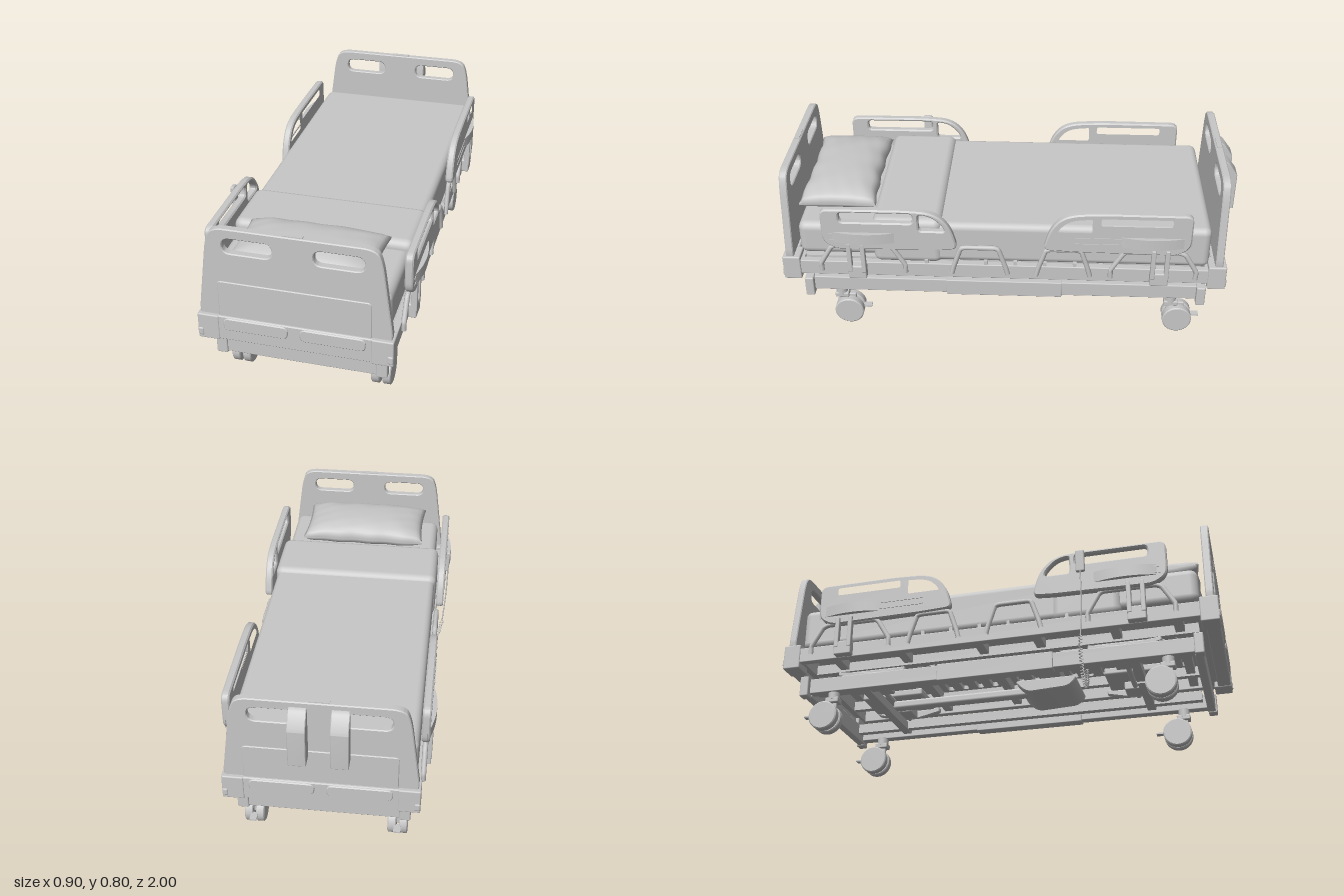
import * as THREE from 'three';
import { RoundedBoxGeometry } from 'three/addons/geometries/RoundedBoxGeometry.js';
import { toCreasedNormals } from 'three/addons/utils/BufferGeometryUtils.js';

const grey = new THREE.MeshStandardMaterial({ color: 0xc8c8c8 });
grey.name = 'light grey';

function add(parent, name, geo, x = 0, y = 0, z = 0) {
  const m = new THREE.Mesh(geo, grey);
  m.name = name;
  m.position.set(x, y, z);
  parent.add(m);
  return m;
}
function group(parent, name) {
  const g = new THREE.Group();
  g.name = name;
  parent.add(g);
  return g;
}
// Box given by its minimum and maximum on each axis, optionally rounded
function box(parent, name, [x0, x1], [y0, y1], [z0, z1], r = 0) {
  const s = [Math.abs(x1 - x0), y1 - y0, Math.abs(z1 - z0)];
  const geo = r ? new RoundedBoxGeometry(...s, 3, r) : new THREE.BoxGeometry(...s);
  return add(parent, name, geo, (x0 + x1) / 2, (y0 + y1) / 2, (z0 + z1) / 2);
}
// Closed outline with rounded corners; each point is [u, v, radius]
function roundPath(path, pts) {
  pts.forEach(([u, v, r = 0.01], i) => {
    const p = new THREE.Vector2(u, v);
    const near = (q) => {
      const d = new THREE.Vector2(q[0] - u, q[1] - v);
      return p.clone().addScaledVector(d, Math.min(r / d.length(), 0.49));
    };
    const a = near(pts[(i + pts.length - 1) % pts.length]), b = near(pts[(i + 1) % pts.length]);
    if (i) path.lineTo(a.x, a.y); else path.moveTo(a.x, a.y);
    path.quadraticCurveTo(u, v, b.x, b.y);
  });
  path.closePath();
  return path;
}
const rect = (u0, u1, v0, v1, r) => [[u0, v0, r], [u1, v0, r], [u1, v1, r], [u0, v1, r]];
// Plate of a given thickness, centred on its thickness axis
function plate(pts, holes, depth, bevel = 0.004) {
  const shape = roundPath(new THREE.Shape(), pts);
  holes.forEach((h) => shape.holes.push(roundPath(new THREE.Path(), h)));
  const geo = new THREE.ExtrudeGeometry(shape, {
    depth: depth - 2 * bevel, bevelEnabled: bevel > 0, bevelSize: bevel, bevelOffset: -bevel,
    bevelThickness: bevel, bevelSegments: 1, curveSegments: 8,
  });
  geo.translate(0, 0, -depth / 2 + bevel);
  return toCreasedNormals(geo, 0.5);
}
const sidePlate = (...args) => plate(...args).rotateY(-Math.PI / 2);
function tube(parent, name, pts, r, tension = 0.1, seg = 40) {
  const c = new THREE.CatmullRomCurve3(pts.map((p) => new THREE.Vector3(...p)), false, 'catmullrom', tension);
  return add(parent, name, new THREE.TubeGeometry(c, seg, r, 8));
}

// Head or foot board: tapered panel with hand holes above a bumper beam
function endBoard(parent, name, z, dir) {
  const g = group(parent, name);
  g.position.z = z;
  const outline = [[-0.385, 0.36], [0.385, 0.36], [0.392, 0.42, 0.02], [0.35, 0.74, 0.06], [0.325, 0.797, 0.06],
    [-0.325, 0.797, 0.06], [-0.35, 0.74, 0.06], [-0.392, 0.42, 0.02]];
  const grips = [-1, 1].map((s) => rect(s * 0.182 - 0.1, s * 0.182 + 0.1, 0.69, 0.755, 0.035));
  add(g, 'boardPanel', plate(outline, grips, 0.034));
  add(g, 'insetPanel', plate(rect(-0.31, 0.31, 0.39, 0.56, 0.015), [], 0.014, 0.003), 0, 0, dir * 0.015);
  box(g, 'topMark', [-0.04, 0.04], [0.795, 0.8], [-0.01, 0.01]);
  add(g, 'bumperBeam', plate(rect(-0.395, 0.395, 0.29, 0.4, 0.012), [], 0.06), 0, 0, dir * 0.001);
  for (const s of [-1, 1]) {
    add(g, 'raisedPad', plate(rect(-0.133, 0.133, 0.34, 0.396, 0.025), [], 0.014, 0.004), s * 0.157, 0, dir * 0.03);
    box(g, 'cornerBlock', [s * 0.31, s * 0.4], [0.285, 0.4], [dir * -0.045, dir * 0.034], 0.006);
    box(g, 'cornerBumper', [s * 0.375, s * 0.4], [0.298, 0.335], [dir * 0.015, dir * 0.038], 0.008);
  }
}

// Side rail for side s; e = 1 near the head, -1 near the foot
function sideRail(parent, s, e) {
  const g = group(parent, e > 0 ? 'headSideRail' : 'footSideRail');
  const o = e > 0 ? 0.01 : -0.003;
  const tip = e > 0 ? 0.204 : 0.156;
  const at = (pts) => pts.map(([u, v, r]) => [e * (u + o), v, r]);
  const X = s * (e > 0 ? 0.412 : 0.402);
  const outline = at([[0.79, 0.674, 0.035], [0.43, 0.676, 0.04], [tip + 0.1, 0.668, 0.08], [tip + 0.03, 0.6, 0.08], [tip, 0.485, 0.03],
    [0.3, 0.478, 0.03], [0.73, 0.472, 0.03], [0.79, 0.51, 0.04]]);
  const slot = at(rect(0.395, 0.71, 0.612, 0.66, 0.018));
  const arch = at([[0.37, 0.575, 0.015], [0.37, 0.657, 0.015], [tip + 0.11, 0.647, 0.06], [tip + 0.062, 0.6, 0.03], [tip + 0.055, 0.575, 0.01]]);
  add(g, 'railPanel', sidePlate(outline, [slot, arch], 0.034, 0.006), X);
  const out = X + s * 0.015;
  for (const y of [0.52, 0.55]) box(g, 'railRib', [out, out + s * 0.005], [y, y + 0.006], e > 0 ? [0.58, 0.77] : [-0.5, -0.29]);
  // Lens-shaped latch that bulges outward
  const lens = new THREE.Shape();
  lens.moveTo(-0.17, 0).quadraticCurveTo(0, 0.064, 0.17, 0);
  const latch = new THREE.ExtrudeGeometry(lens, { depth: 0.05, bevelEnabled: false, curveSegments: 16 });
  latch.rotateX(Math.PI / 2).rotateY(s * Math.PI / 2);
  add(g, 'railLatch', toCreasedNormals(latch, 0.5), X + s * 0.005, 0.563, e * 0.62);
  // Folding support beneath the panel
  const zc = e * 0.66;
  for (const d of [-0.03, 0.03]) box(g, 'supportPost', [s * 0.404, s * 0.43], [0.35, 0.5], [zc + d - 0.01, zc + d + 0.01], 0.004);
  box(g, 'supportFoot', [s * 0.385, s * 0.428], [0.315, 0.38], [zc - 0.04, zc + 0.04], 0.006);
  tube(g, 'supportBar', [[0.82, 0.34], [0.82, 0.38], [0.77, 0.465], [0.74, 0.478], [0.52, 0.478], [0.5, 0.465], [0.45, 0.38], [0.45, 0.34]]
    .map(([z, y]) => [s * 0.402, y, e * z]), 0.011);
}

// Twin-wheel caster
function caster(parent, x, z) {
  const g = group(parent, 'caster');
  g.position.set(x, 0, z);
  for (const s of [-1, 1]) {
    const pts = [[0, -0.018], [0.061, -0.018], [0.066, -0.014], [0.066, 0.014], [0.061, 0.018], [0, 0.018]];
    const wheel = new THREE.LatheGeometry(pts.map((p) => new THREE.Vector2(...p)), 32).rotateZ(Math.PI / 2);
    add(g, 'wheel', toCreasedNormals(wheel, 0.5), s * 0.024, 0.066, 0);
  }
  box(g, 'casterFork', [-0.008, 0.008], [0.06, 0.14], [-0.03, 0.05], 0.004);
  box(g, 'casterHead', [-0.024, 0.024], [0.13, 0.155], [0, 0.062], 0.005);
  add(g, 'casterStem', new THREE.CylinderGeometry(0.026, 0.026, 0.04, 16), 0, 0.165, 0.033);
  box(g, 'brakePedal', [-0.015, 0.015], [0.071, 0.078], [-0.1, -0.055]);
}

// Pillow: a box puffed in the middle with soft creases
function pillow(parent) {
  const geo = new THREE.BoxGeometry(2, 2, 2, 40, 4, 28);
  const p = geo.attributes.position;
  for (let i = 0; i < p.count; i++) {
    const x = p.getX(i), y = p.getY(i), z = p.getZ(i);
    const puff = Math.pow((1 - x ** 4) * (1 - z ** 4), 0.5);
    const crease = 0.002 * Math.sin(11 * x + 5 * z) * Math.sin(9 * z - 3 * x) * (x * x + z * z) * puff;
    p.setXYZ(i, 0.298 * x * (1 - 0.035 * (1 - z * z)), y * (0.004 + 0.05 * puff) + crease + 0.014 * (1 - z * z) * (1 - x * x),
      0.168 * z * (1 - 0.05 * (1 - x * x)) + 0.003 * Math.sin(12 * x) * Math.abs(z));
  }
  geo.computeVertexNormals();
  add(parent, 'pillow', toCreasedNormals(geo, 1.2), -0.005, 0.612, 0.752);
}

export function createModel() {
  const bed = new THREE.Group();
  bed.name = 'hospitalBed';

  // Bedding
  const bedding = group(bed, 'bedding');
  box(bedding, 'mattress', [-0.37, 0.37], [0.4, 0.56], [-0.86, 0.918], 0.035);
  box(bedding, 'blanket', [-0.38, 0.38], [0.385, 0.58], [-0.877, 0.55], 0.03);
  box(bedding, 'blanketFold', [-0.388, 0.388], [0.376, 0.6], [0.285, 0.59], 0.035);
  pillow(bedding);

  endBoard(bed, 'headboard', 0.962, 1);
  endBoard(bed, 'footboard', -0.921, -1);

  // Control boxes with sloping tops on the footboard
  for (const s of [-1, 1]) {
    const wedge = [[-0.935, 0.53, 0.003], [-0.935, 0.775, 0.003], [-0.955, 0.765, 0.003], [-1, 0.705, 0.006], [-1, 0.53, 0.003]];
    add(bed, 'controlBox', sidePlate(wedge, [], 0.072, 0.003), s * 0.083);
  }

  // Mattress platform
  const deck = group(bed, 'platform');
  for (const s of [-1, 1]) {
    box(deck, 'sideBeam', [s * 0.362, s * 0.395], [0.312, 0.382], [-0.88, 0.92], 0.004);
    box(deck, 'innerBeam', [s * 0.21, s * 0.24], [0.315, 0.36], [-0.86, 0.9]);
    for (const [a, b] of [[0, 0.245], [-0.36, -0.125]]) {
      tube(deck, 'strapRail', [[a, 0.34], [a + 0.01, 0.38], [a + 0.04, 0.47], [a + 0.06, 0.478], [b - 0.06, 0.478], [b - 0.04, 0.47], [b - 0.01, 0.38], [b, 0.34]]
        .map(([z, y]) => [s * 0.4, y, z]), 0.011);
    }
    for (let z = -0.3; z < 0.4; z += 0.13) box(deck, 'mattressClip', [s * 0.375, s * 0.392], [0.38, 0.4], [z, z + 0.015]);
  }
  for (const [a, b] of [[-0.85, -0.42], [-0.4, -0.06], [-0.04, 0.2], [0.22, 0.9]]) {
    const holes = [];
    for (let z = a + 0.04; z < b - 0.06; z += 0.075)
      for (const x of [-0.15, 0, 0.15]) holes.push(rect(x - 0.055, x + 0.055, z, z + 0.03, 0.012));
    add(deck, 'slottedPanel', plate(rect(-0.355, 0.355, a, b, 0.01), holes, 0.02, 0).rotateX(Math.PI / 2), 0, 0.375, 0);
  }
  for (const z of [-0.72, -0.41, -0.05, 0.21, 0.55, 0.82]) box(deck, 'crossBeam', [-0.37, 0.37], [0.325, 0.365], [z - 0.02, z + 0.02]);
  for (const z of [-0.885, 0.925]) box(deck, 'endBeam', [-0.39, 0.39], [0.315, 0.38], [z - 0.022, z + 0.022]);

  for (const s of [-1, 1]) for (const e of [-1, 1]) sideRail(bed, s, e);

  // Wheeled base
  const base = group(bed, 'base');
  for (const s of [-1, 1]) {
    box(base, 'baseRail', [s * 0.292, s * 0.335], [0.18, 0.25], [-0.87, 0.9], 0.004);
    box(base, 'railSleeve', [s * 0.287, s * 0.342], [0.174, 0.253], [-0.24, 0.28], 0.004);
    box(base, 'liftTrack', [s * 0.235, s * 0.268], [0.2, 0.245], [-0.84, 0.86]);
    for (const z of [0.9, -0.862]) box(base, 'endBlock', [s * 0.313, s * 0.36], [0.162, 0.257], [z - 0.02, z + 0.02], 0.006);
    caster(base, s * 0.305, 0.733);
    caster(base, s * 0.305, -0.768);
  }
  for (const z of [0.895, -0.857]) box(base, 'endCrossBar', [-0.32, 0.32], [0.168, 0.25], [z - 0.018, z + 0.018], 0.005);
  for (const z of [0.62, -0.6]) box(base, 'baseCrossBar', [-0.3, 0.3], [0.195, 0.235], [z - 0.02, z + 0.02]);

  // Lifting gear
  const lift = group(bed, 'liftingGear');
  for (const e of [-1, 1]) {
    const arm = [[0.42, 0.275], [0.42, 0.3], [0.56, 0.285], [0.74, 0.305], [0.74, 0.285], [0.6, 0.248], [0.54, 0.248]].map(([z, y]) => [e * z, y, 0.008]);
    for (const s of [-1, 1]) {
      add(lift, 'liftArm', sidePlate(arm, [], 0.028), s * 0.252);
      box(lift, 'liftBracket', [s * 0.11, s * 0.205], [0.235, 0.275], [e * 0.52, e * 0.62], 0.006);
      box(lift, 'liftCover', [s * 0.03, s * 0.228], [0.283, 0.32], [e * 0.44, e * 0.74], 0.01);
    }
    add(lift, 'liftShaft', new THREE.CylinderGeometry(0.012, 0.012, 0.56, 16).rotateZ(Math.PI / 2), 0, 0.25, e * 0.57);
  }
  add(lift, 'motor', new THREE.CylinderGeometry(0.046, 0.046, 0.09, 28).rotateZ(Math.PI / 2), -0.157, 0.308, 0.335);
  const hood = [[0.34, 0.25], [0.3, 0.2], [0.1, 0.19], [0.04, 0.25]].map(([z, y]) => [z, y, 0.03]);
  add(lift, 'motorHood', sidePlate(hood, [], 0.24), 0.04);
  box(lift, 'pushRod', [-0.025, 0.025], [0.2, 0.24], [-0.56, 0.1], 0.012);

  // Hand control hung on the right head rail, with a coiled cable
  const control = group(bed, 'handControl');
  box(control, 'handset', [-0.446, -0.428], [0.57, 0.672], [0.41, 0.45], 0.006).rotation.z = 0.06;
  tube(control, 'cable', [[-0.441, 0.58, 0.43], [-0.438, 0.42, 0.43], [-0.428, 0.27, 0.42]], 0.003, 0.5, 20);
  const sag = new THREE.CatmullRomCurve3([[-0.428, 0.27], [-0.41, 0.19], [-0.36, 0.125], [-0.29, 0.108], [-0.23, 0.122], [-0.185, 0.175], [-0.16, 0.25]]
    .map(([x, y], i) => new THREE.Vector3(x, y, 0.42 - 0.004 * i)));
  const coil = [];
  for (let i = 0; i <= 320; i++) {
    const t = i / 320, a = t * 32 * Math.PI * 2, d = sag.getTangentAt(t);
    const n = new THREE.Vector3(-d.y, d.x, 0).normalize();
    coil.push(sag.getPointAt(t).addScaledVector(n, 0.007 * Math.cos(a)).add(new THREE.Vector3(0, 0, 0.007 * Math.sin(a))));
  }
  add(control, 'coiledCable', new THREE.TubeGeometry(new THREE.CatmullRomCurve3(coil), 640, 0.0025, 5));
  return bed;
}
